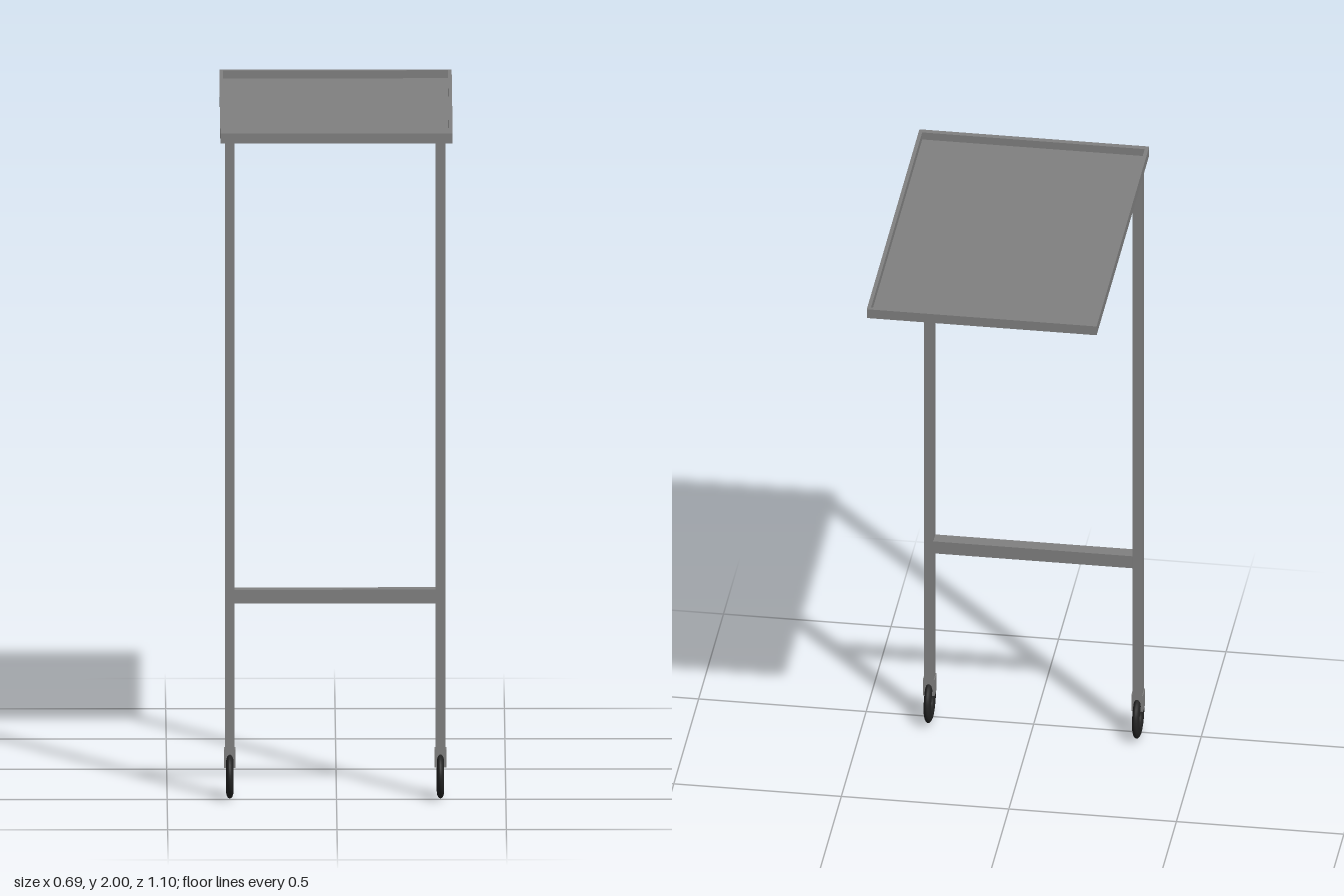
import * as THREE from 'three';

const frameMat = new THREE.MeshStandardMaterial({ color: 0x808080 });
const tyreMat = new THREE.MeshStandardMaterial({ color: 0x222222 });

// Box given by its min and max corners
function box(name, [x0, y0, z0], [x1, y1, z1]) {
  const geometry = new THREE.BoxGeometry(x1 - x0, y1 - y0, z1 - z0);
  geometry.translate((x0 + x1) / 2, (y0 + y1) / 2, (z0 + z1) / 2);
  const mesh = new THREE.Mesh(geometry, frameMat);
  mesh.name = name;
  return mesh;
}

function rectangle(Type, x0, z0, x1, z1) {
  return new Type([[x0, z0], [x1, z0], [x1, z1], [x0, z1]].map(([x, z]) => new THREE.Vector2(x, z)));
}

// Shallow tray: raised rim around a thin floor
function createTray() {
  const tray = new THREE.Group();
  tray.name = 'tray';
  const outline = rectangle(THREE.Shape, -0.343, -0.547, 0.343, 0.513);
  outline.holes.push(rectangle(THREE.Path, -0.332, -0.534, 0.332, 0.496));
  const geometry = new THREE.ExtrudeGeometry(outline, { depth: 0.03, bevelEnabled: false });
  geometry.rotateX(Math.PI / 2).translate(0, 2, 0);
  const rim = new THREE.Mesh(geometry, frameMat);
  rim.name = 'trayRim';
  tray.add(rim, box('trayFloor', [-0.333, 1.97, -0.535], [0.333, 1.976, 0.497]));
  return tray;
}

// Upright post with a caster at its foot
function createLeg(side) {
  const leg = new THREE.Group();
  leg.name = side > 0 ? 'leftLeg' : 'rightLeg';
  leg.add(box('post', [-0.0145, 0.095, -0.021], [0.0145, 1.972, 0.021]));

  // Fork plates on both faces of the post
  for (const s of [-1, 1]) {
    const x = s * 0.0155;
    leg.add(box('forkPlate', [x - 0.002, 0.095, -0.021], [x + 0.002, 0.15, 0.021]));
  }

  // Flattened ring wheel
  const geometry = new THREE.TorusGeometry(0.049, 0.02, 16, 40);
  geometry.scale(1, 1, 0.55).rotateY(Math.PI / 2);
  const wheel = new THREE.Mesh(geometry, tyreMat);
  wheel.name = 'wheel';
  wheel.position.y = 0.069;
  leg.add(wheel);

  leg.position.set(side * 0.311 - 0.004, 0, 0.479);
  return leg;
}

export function createModel() {
  const model = new THREE.Group();
  model.name = 'overbedTable';
  model.add(createTray(), createLeg(1), createLeg(-1));
  model.add(box('crossbar', [-0.302, 0.587, 0.453], [0.294, 0.628, 0.494]));
  return model;
}
